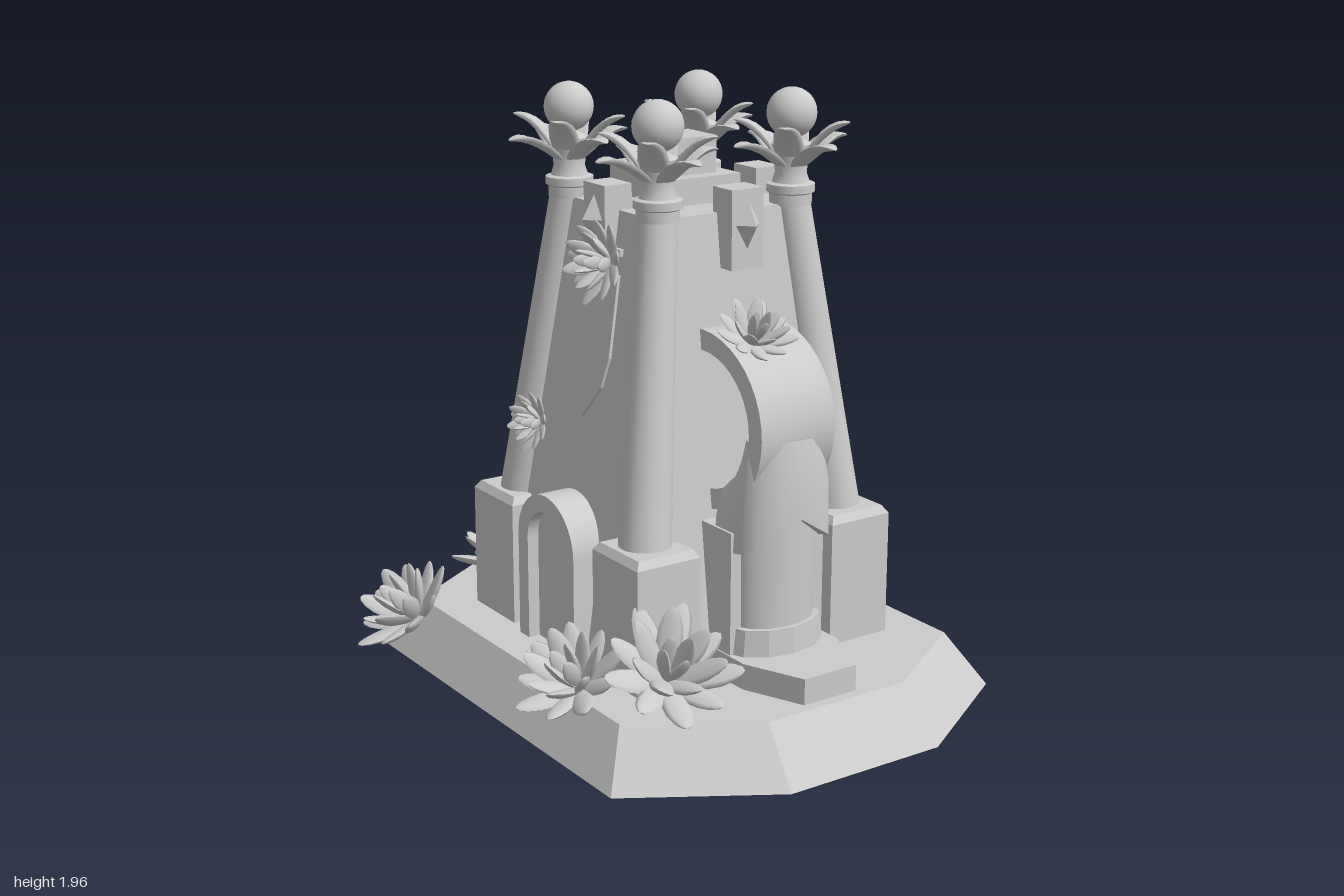
import * as THREE from 'three';
import { toCreasedNormals } from 'three/addons/utils/BufferGeometryUtils.js';

const flat = new THREE.MeshStandardMaterial({ color: 0xcccccc, flatShading: true });
const smooth = new THREE.MeshStandardMaterial({ color: 0xcccccc });
const thin = new THREE.MeshStandardMaterial({ color: 0xcccccc, side: THREE.DoubleSide });
const thinFlat = new THREE.MeshStandardMaterial({ color: 0xcccccc, side: THREE.DoubleSide, flatShading: true });

function add(parent, name, geo, mat = flat, x = 0, y = 0, z = 0) {
  const m = new THREE.Mesh(geo, mat);
  m.name = name;
  m.position.set(x, y, z);
  parent.add(m);
  return m;
}
const box = (w, h, d) => new THREE.BoxGeometry(w, h, d);

// Cross-sections, counter-clockwise from above
const rect = (y, hx, hz) => [[hx, y, hz], [hx, y, -hz], [-hx, y, -hz], [-hx, y, hz]];
const oct = (y, hx, hz, kx, kz) => [[hx, y, kz], [hx, y, -kz], [kx, y, -hz], [-kx, y, -hz],
  [-hx, y, -kz], [-hx, y, kz], [-kx, y, hz], [kx, y, hz]];

// Joins cross-sections into a faceted solid
function loft(rings, bottom = true) {
  const p = [], n = rings[0].length, top = rings[rings.length - 1];
  for (let r = 0; r + 1 < rings.length; r++) for (let i = 0; i < n; i++) {
    const j = (i + 1) % n, a = rings[r][i], b = rings[r][j], c = rings[r + 1][j], d = rings[r + 1][i];
    p.push(...a, ...b, ...c, ...a, ...c, ...d);
  }
  for (let i = 1; i + 1 < n; i++) {
    p.push(...top[0], ...top[i], ...top[i + 1]);
    if (bottom) p.push(...rings[0][0], ...rings[0][i + 1], ...rings[0][i]);
  }
  const g = new THREE.BufferGeometry();
  g.setAttribute('position', new THREE.Float32BufferAttribute(p, 3));
  g.computeVertexNormals();
  return g;
}

// Moves every vertex by a rule
function warp(geo, rule) {
  const p = geo.attributes.position, v = new THREE.Vector3();
  for (let i = 0; i < p.count; i++) {
    v.fromBufferAttribute(p, i);
    rule(v);
    p.setXYZ(i, v.x, v.y, v.z);
  }
  geo.computeVertexNormals();
  return geo;
}

// Fleshy pointed leaf, growing along +y and curling toward +z
const fleshyLeaf = warp(new THREE.SphereGeometry(1, 8, 8), v => {
  const t = (v.y + 1) / 2, w = 0.55 + 0.75 * t - 0.55 * t * t;
  v.set(v.x * 0.23 * w, t, v.z * 0.09 * w + 0.16 * t * t);
});

function succulent(parent, pos, normal, size) {
  const g = new THREE.Group();
  g.name = 'succulent';
  g.position.set(...pos);
  g.quaternion.setFromUnitVectors(new THREE.Vector3(0, 1, 0), new THREE.Vector3(...normal).normalize());
  g.scale.setScalar(size);
  [[9, 1.3, 1], [7, 0.88, 0.95], [4, 0.4, 0.85]].forEach(([n, lean, len], k) => {
    for (let i = 0; i < n; i++) {
      const leaf = add(g, 'succulentLeaf', fleshyLeaf, smooth);
      leaf.rotation.set(-lean, (i + k * 0.5) / n * Math.PI * 2, 0, 'YXZ');
      leaf.scale.setScalar(len * (1 - 0.1 * (i % 2)));
    }
  });
  parent.add(g);
}

// Broad pointed palm leaf, rising and spreading along +z
const palmLeaf = warp(new THREE.SphereGeometry(1, 8, 10), v => {
  const t = (v.y + 1) / 2;
  v.set(v.x * 0.062 * (1 - 0.55 * t), 0.1 * Math.sin(t * 1.75) - v.z * 0.012 + 0.012 * v.x * v.x, 0.02 + 0.2 * t);
});

function column(parent, sx, sz) {
  const g = new THREE.Group();
  g.name = 'cornerColumn';
  const low = new THREE.Vector3(sx * 0.375, 0.58, sz * 0.36), high = new THREE.Vector3(sx * 0.253, 1.61, sz * 0.252);
  const dir = high.clone().sub(low);
  const shaft = add(g, 'shaft', new THREE.CylinderGeometry(0.061, 0.084, dir.length(), 24), smooth);
  shaft.position.copy(low).add(high).multiplyScalar(0.5);
  shaft.quaternion.setFromUnitVectors(new THREE.Vector3(0, 1, 0), dir.normalize());
  const ped = loft([rect(0.165, 0.117, 0.125), rect(0.58, 0.117, 0.125), rect(0.605, 0.1, 0.108)]);
  add(g, 'pedestal', ped, flat, sx * 0.375, 0, sz * 0.37);
  const cap = new THREE.Group();
  cap.name = 'capital';
  cap.position.set(high.x, 0, high.z);
  const profile = [[0, 1.59], [0.068, 1.59], [0.068, 1.625], [0.077, 1.63], [0.077, 1.655], [0.06, 1.66],
    [0.05, 1.69], [0.055, 1.73], [0.065, 1.78], [0, 1.81]].map(p => new THREE.Vector2(...p));
  add(cap, 'neck', toCreasedNormals(new THREE.LatheGeometry(profile, 24), 0.6), smooth);
  for (let i = 0; i < 8; i++) {
    const leaf = add(cap, 'palmLeaf', palmLeaf, smooth, 0, 1.695, 0);
    leaf.rotation.set(i % 2 ? -0.28 : 0.03, i * Math.PI / 4, 0, 'YXZ');
  }
  add(cap, 'orb', new THREE.SphereGeometry(0.08, 24, 16), smooth, 0, 1.877, 0);
  g.add(cap);
  parent.add(g);
}

// Ring buttress with hooded pod, facing +z
function buttress(parent, turn) {
  const g = new THREE.Group();
  g.name = 'buttress';
  g.rotation.y = turn;
  const ring = new THREE.Shape().absellipse(0, 0, 0.305, 0.285, 0, Math.PI * 2);
  ring.holes.push(new THREE.Path().absellipse(0, 0, 0.24, 0.22, 0, Math.PI * 2));
  const ringGeo = new THREE.ExtrudeGeometry(ring, { depth: 0.28, bevelEnabled: false, curveSegments: 20 });
  ringGeo.rotateY(-Math.PI / 2).translate(0.14, 0.965, 0.335);
  add(g, 'ring', toCreasedNormals(ringGeo, 0.6), smooth);
  add(g, 'jamb', box(0.36, 0.49, 0.3), flat, 0, 0.41, 0.395);
  add(g, 'pod', new THREE.CylinderGeometry(0.15, 0.143, 0.4, 24), smooth, 0, 0.53, 0.52).scale.z = 0.68;
  add(g, 'collar', new THREE.CylinderGeometry(0.168, 0.178, 0.09, 12), flat, 0, 0.295, 0.52).scale.z = 0.68;
  add(g, 'plinth', loft([0.165, 0.255].map(y =>
    [[0.185, y, 0.3], [-0.185, y, 0.3], [-0.185, y, 0.62], [-0.1, y, 0.82], [0.1, y, 0.82], [0.185, y, 0.62]])));
  // Hood rows: inner lip, outer lip, shoulder, top, inner top; its upper edge follows the ring
  const rows = [[0.15, 0.175, 0], [0.175, 0.215, 0], [0.168, 0.215, 0.55], [0.142, 0.195, 1], [0.13, 0.15, 1]];
  add(g, 'hood', toCreasedNormals(warp(new THREE.PlaneGeometry(1, 4, 48, 4), v => {
    const u = v.x + 0.5, s = Math.pow(Math.max(0, Math.sin(Math.PI * u)), 0.45);
    const [rx, rz, k] = rows[Math.round(v.y + 2)], c = Math.cos(Math.PI * u);
    const e = Math.min(1, (0.115 + 0.215 * s) / 0.24);
    const low = 0.59 + 0.11 * (1 - Math.abs(c)), high = Math.min(0.945, 0.965 - 0.22 * Math.sqrt(1 - e * e));
    v.set(-c * rx, low + (high - low) * k, 0.45 + s * rz);
  }), 0.6), thin);
  parent.add(g);
}

// Plaque with gem, facing +z
function gemPlaque(parent, turn) {
  const g = new THREE.Group();
  g.name = 'gemPlaque';
  g.position.set(0.012, 0, 0.012);
  g.rotation.y = turn;
  add(g, 'plaque', box(0.12, 0.25, 0.1), flat, 0, 1.55, 0.29);
  add(g, 'gem', new THREE.OctahedronGeometry(1), flat, 0, 1.565, 0.335).scale.set(0.05, 0.085, 0.05);
  parent.add(g);
}

// Hanging cloth with a pointed end lying on the wall, facing +z
function banner(parent, turn) {
  const g = new THREE.Group();
  g.name = 'banner';
  g.rotation.y = turn;
  const cloth = new THREE.Shape([[-0.118, 1.4], [-0.118, 1.14], [-0.09, 1.04], [0, 0.93], [0.09, 1.04],
    [0.118, 1.14], [0.118, 1.4]].map(p => new THREE.Vector2(...p)));
  const geo = new THREE.ExtrudeGeometry(cloth, { depth: 0.02, bevelEnabled: false });
  add(g, 'cloth', warp(geo, v => { v.z += 0.46 - 0.137 * (v.y - 0.165); }));
  add(g, 'rod', box(0.24, 0.022, 0.04), flat, 0, 1.47, 0.285);
  parent.add(g);
}

export function createModel() {
  const model = new THREE.Group();
  model.name = 'shrineTower';
  const tower = new THREE.Group();
  tower.name = 'tower';
  tower.position.x = 0.098;
  model.add(tower);

  // Hollow base and tapered body
  add(tower, 'base', loft([oct(0, 0.74, 1, 0.285, 0.725), oct(0.17, 0.64, 0.855, 0.262, 0.62)], false), thinFlat);
  add(tower, 'body', loft([rect(0.165, 0.47, 0.45), rect(1.595, 0.274, 0.274)]));
  add(tower, 'crownLower', box(0.265, 0.09, 0.265), flat, 0.012, 1.635, 0);
  add(tower, 'crownUpper', box(0.155, 0.125, 0.155), flat, 0.012, 1.735, 0);

  for (const sx of [-1, 1]) for (const sz of [-1, 1]) column(tower, sx, sz);
  for (const turn of [0, Math.PI]) {
    buttress(tower, turn);
    banner(tower, turn + Math.PI / 2);
  }
  for (let i = 0; i < 4; i++) gemPlaque(tower, i * Math.PI / 2);

  // Arched doorway on the -x side
  const door = new THREE.Group();
  door.name = 'doorway';
  door.rotation.y = -Math.PI / 2;
  const arch = (path, r) => path.moveTo(-r, 0.165).lineTo(r, 0.165).lineTo(r, 0.52)
    .absarc(0, 0.52, r, 0, Math.PI).lineTo(-r, 0.165);
  const frame = arch(new THREE.Shape(), 0.168);
  frame.holes.push(arch(new THREE.Path(), 0.11));
  const frameGeo = new THREE.ExtrudeGeometry(frame, { depth: 0.215, bevelEnabled: false, curveSegments: 16 });
  add(door, 'doorFrame', toCreasedNormals(frameGeo, 0.6), smooth, 0, 0, 0.3);
  const panelGeo = new THREE.ExtrudeGeometry(arch(new THREE.Shape(), 0.112), { depth: 0.175, bevelEnabled: false });
  add(door, 'doorPanel', toCreasedNormals(panelGeo, 0.6), smooth, 0, 0, 0.3);
  tower.add(door);

  // Step on the +x side
  add(tower, 'sideStep', box(0.16, 0.105, 0.22), flat, 0.402, 0.217, -0.11);

  // Plants on the ground and on the walls: position, facing, size
  [[[-0.36, 0.26, 0.6], [-0.15, 0.75, 0.55], 0.24], [[-0.51, 0.18, 0.34], [-0.55, 0.8, 0.15], 0.21],
    [[-0.64, 0.17, -0.47], [-0.65, 0.75, -0.15], 0.215], [[-0.17, 0.21, -0.66], [-0.1, 0.85, -0.4], 0.21],
    [[-0.25, 1.45, 0.13], [-1, 0.15, 0], 0.155], [[0, 1.45, -0.33], [-0.1, 0.2, -1], 0.155],
    [[0.02, 1.235, 0.5], [-0.05, 0.8, 0.5], 0.145], [[-0.31, 0.87, -0.2], [-1, 0.15, 0], 0.115],
  ].forEach(p => succulent(model, ...p));
  return model;
}
